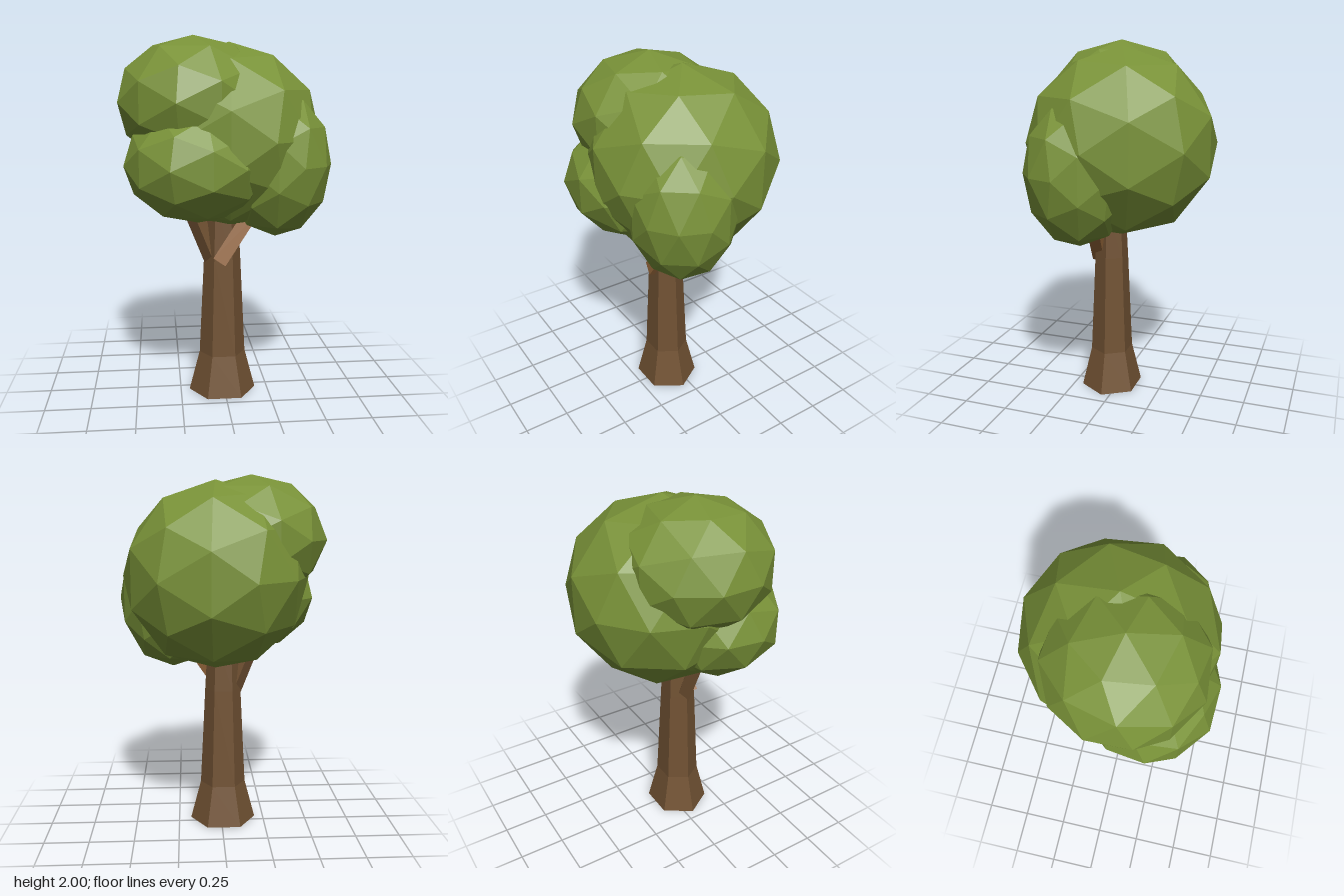
import * as THREE from 'three';

const material = (name, color) => {
  const m = new THREE.MeshStandardMaterial({ color, flatShading: true });
  m.name = name;
  return m;
};

export function createModel() {
  const tree = new THREE.Group();
  tree.name = 'tree';
  const leaf = material('leafGreen', 0x799238);
  const bark = material('barkBrown', 0x715233);
  const lightBark = material('lightBarkBrown', 0x94653a);

  const add = (name, geometry, mat) => {
    const mesh = new THREE.Mesh(geometry, mat);
    mesh.name = name;
    tree.add(mesh);
    return mesh;
  };

  // Six-sided trunk with a flared foot
  const profile = [[0, 0], [0.19, 0], [0.13, 0.23], [0.102, 0.8], [0.085, 1.1], [0, 1.1]]
    .map(([r, y]) => new THREE.Vector2(r, y));
  const trunk = add('trunk', new THREE.LatheGeometry(profile, 6, Math.PI / 6), bark);
  trunk.scale.z = 0.92;
  trunk.position.set(-0.01, 0, 0.047);

  // Four-sided branches rising into the crown
  const branch = (name, from, to, radius, twist, mat) => {
    const a = new THREE.Vector3(...from), b = new THREE.Vector3(...to);
    const dir = b.clone().sub(a);
    const g = new THREE.CylinderGeometry(radius, radius, dir.length(), 4).rotateY(twist);
    const mesh = add(name, g, mat);
    mesh.position.copy(a).add(b).multiplyScalar(0.5);
    mesh.quaternion.setFromUnitVectors(new THREE.Vector3(0, 1, 0), dir.normalize());
  };
  branch('leftBranch', [-0.03, 0.775, 0.115], [0.18, 1.09, 0.085], 0.056, 0.6, lightBark);
  branch('rightBranch', [-0.06, 0.77, 0.055], [-0.2, 1.12, 0.07], 0.05, 0, bark);

  // Faceted leaf clumps: centre, radii, rotation about x after the pole is laid along x
  const pole = -Math.atan((1 + Math.sqrt(5)) / 2);
  const clump = (name, centre, radii, turn, tilt) => {
    const g = new THREE.IcosahedronGeometry(1, 1);
    g.rotateZ(pole).rotateX(turn).rotateY(tilt).scale(...radii).translate(...centre);
    add(name, g, leaf);
  };
  clump('mainCrown', [0.035, 1.455, -0.03], [0.51, 0.515, 0.525], Math.PI / 10, -0.08);
  clump('upperCrown', [-0.165, 1.65, 0.04], [0.42, 0.35, 0.42], Math.PI / 10, 0.3);
  clump('lowerRightCrown', [-0.15, 1.325, 0.165], [0.395, 0.315, 0.37], Math.PI / 10, 0.15);
  clump('lowerLeftCrown', [0.275, 1.32, 0.125], [0.3, 0.4, 0.295], Math.PI / 10, -0.1);

  return tree;
}
